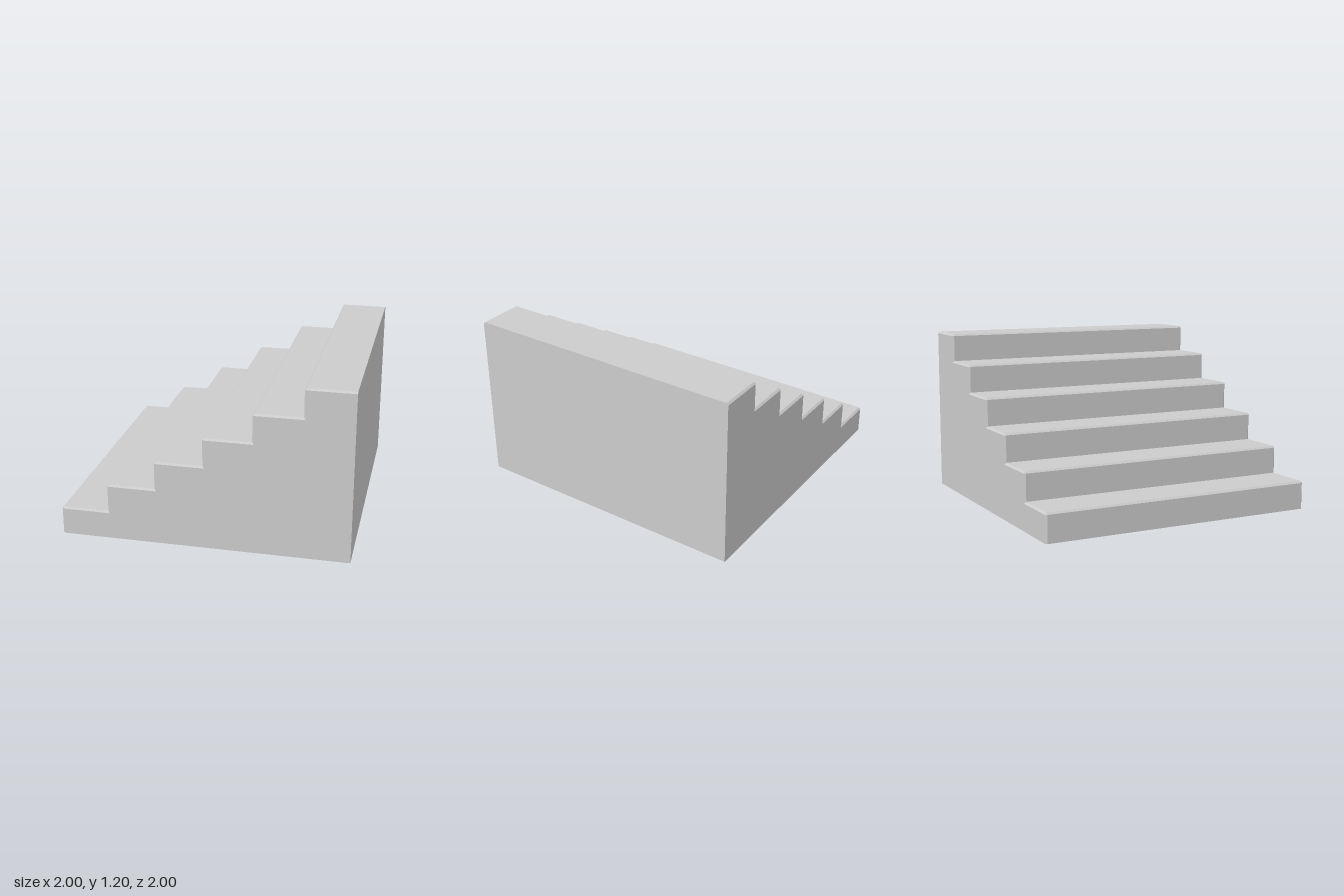
import * as THREE from 'three';

const STEPS = 6, RUN = 2 / STEPS, RISE = 0.2, HALF = 1, C = 0.013;

// Stair profile: each entry pairs an outline point with its bevelled point on the side face
function stairProfile() {
  const pts = [];
  const add = (x, y, ix, iy) => pts.push({ outer: [x, y], inner: [ix, iy] });
  add(-HALF, 0, -HALF + C, 0);
  for (let i = 0; i < STEPS; i++) {
    const x = -HALF + i * RUN, y = (i + 1) * RISE, last = i === STEPS - 1;
    add(x, y - C, x + C, y - C); // chamfered nosing
    add(x + C, y, x + C, y - C);
    add(x + RUN, y, x + RUN + (last ? 0 : C), y - C); // foot of the next riser
  }
  add(HALF, 0, HALF, 0);
  return pts.reverse(); // counter-clockwise seen from the front
}

function stairGeometry() {
  const profile = stairProfile();
  const n = profile.length;
  const sections = [['inner', HALF], ['outer', HALF - C], ['outer', C - HALF], ['inner', -HALF]]
    .map(([key, z]) => profile.map((p) => new THREE.Vector3(...p[key], z)));
  const verts = [];
  const tri = (a, b, c) => {
    if (new THREE.Triangle(a, b, c).getArea() < 1e-8) return;
    for (const v of [a, b, c]) verts.push(v.x, v.y, v.z);
  };

  // Treads, risers, back, base and the bevels along both sides
  for (let k = 0; k < 3; k++) {
    const s = sections[k], t = sections[k + 1];
    for (let i = 0; i < n; i++) {
      const j = (i + 1) % n;
      tri(s[i], t[i], t[j]);
      tri(s[i], t[j], s[j]);
    }
  }

  // Flat stepped side faces
  const contour = profile.map((p) => new THREE.Vector2(...p.inner));
  for (const [a, b, c] of THREE.ShapeUtils.triangulateShape(contour, [])) {
    tri(sections[0][a], sections[0][b], sections[0][c]);
    tri(sections[3][c], sections[3][b], sections[3][a]);
  }

  const geo = new THREE.BufferGeometry();
  geo.setAttribute('position', new THREE.Float32BufferAttribute(verts, 3));
  geo.computeVertexNormals();
  return geo;
}

export function createModel() {
  const group = new THREE.Group();
  group.name = 'staircase';
  const steps = new THREE.Mesh(
    stairGeometry(),
    new THREE.MeshStandardMaterial({ color: 0xcccccc, flatShading: true })
  );
  steps.name = 'steps';
  group.add(steps);
  return group;
}
